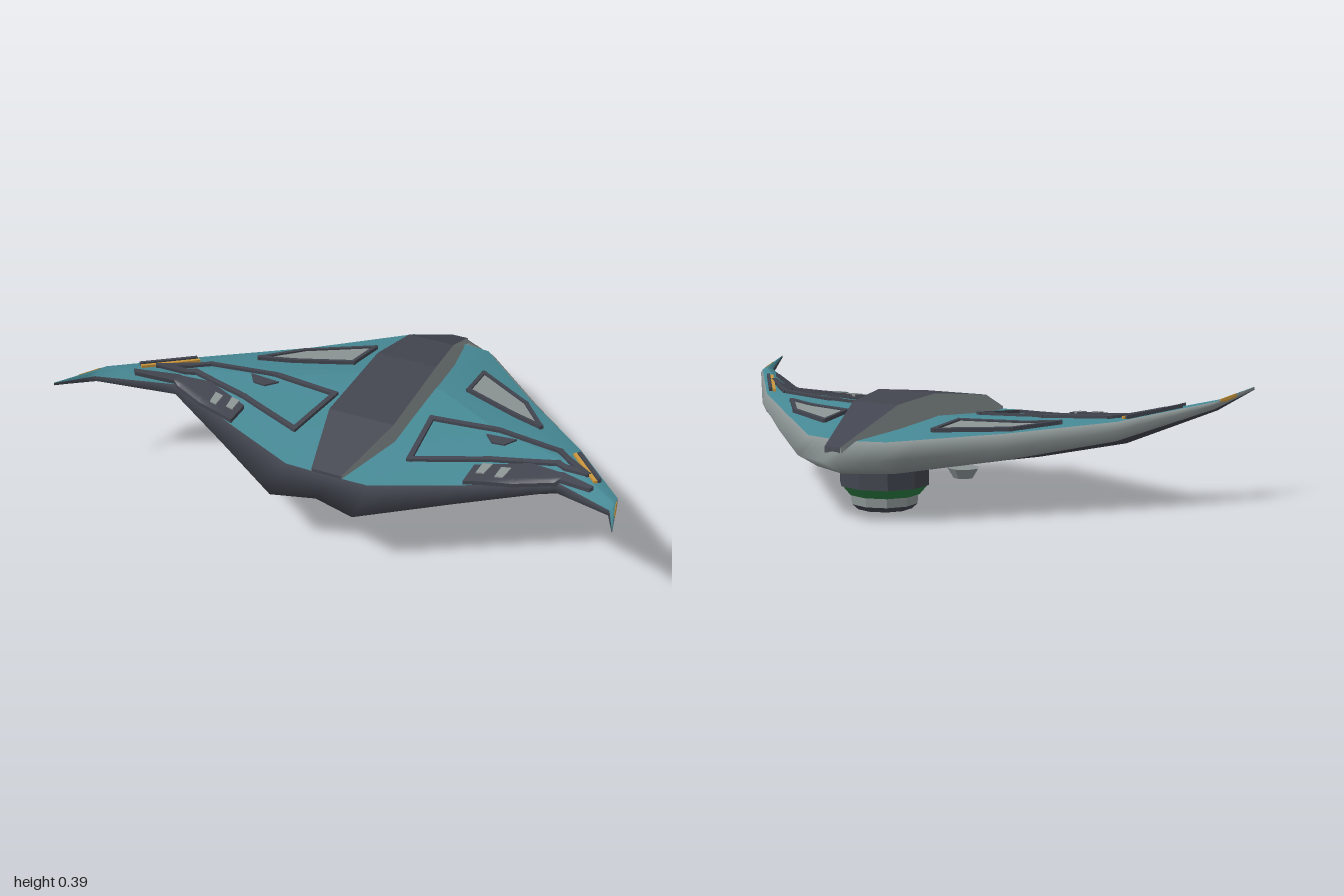
import * as THREE from 'three';

const mat = (name, color) => Object.assign(new THREE.MeshStandardMaterial({ color }), { name });

// Wing stations: x, then leading edge, deck front, deck ridge, deck rear, trailing edge as z,y pairs, then keel y
const STATIONS = [
  [0, -0.62, 0.21, -0.50, 0.262, -0.10, 0.302, 0.50, 0.252, 0.575, 0.205, 0.122],
  [0.15, -0.54, 0.208, -0.475, 0.265, -0.08, 0.302, 0.50, 0.254, 0.612, 0.2, 0.126],
  [0.43, -0.25, 0.232, -0.195, 0.278, 0.08, 0.30, 0.385, 0.268, 0.45, 0.235, 0.165],
  [0.71, 0.04, 0.275, 0.07, 0.305, 0.17, 0.312, 0.27, 0.292, 0.292, 0.268, 0.222],
  [0.94, 0.35, 0.343, 0.36, 0.354, 0.395, 0.358, 0.43, 0.35, 0.44, 0.338, 0.322],
  [1, 0.578, 0.38, 0.579, 0.385, 0.58, 0.386, 0.581, 0.385, 0.582, 0.38, 0.376],
];

// Cross-section of the wing at any x
function section(x) {
  const ax = Math.min(Math.abs(x), 1);
  let i = 0;
  while (i < STATIONS.length - 2 && ax > STATIONS[i + 1][0]) i++;
  const a = STATIONS[i], b = STATIONS[i + 1], t = (ax - a[0]) / (b[0] - a[0]);
  const s = a.map((v, k) => v + (b[k] - v) * t);
  const P = (k) => [x, s[k + 1], s[k]];
  const [L, A, M, B, T] = [1, 3, 5, 7, 9].map(P);
  const keel = (f, d) => {
    const edge = L[1] + (T[1] - L[1]) * f;
    return [x, edge + (s[11] - edge) * d, L[2] + (T[2] - L[2]) * f];
  };
  return { L, A, M, B, T, K: [keel(0.83, 0.65), keel(0.45, 1), keel(0.1, 0.65)] };
}

// Height of the upper surface
function topY(x, z) {
  const { L, A, M, B, T } = section(x), p = [L, A, M, B, T];
  if (z <= L[2]) return L[1];
  for (let i = 0; i < 4; i++) {
    if (z <= p[i + 1][2]) {
      const t = (z - p[i][2]) / (p[i + 1][2] - p[i][2]);
      return p[i][1] + (p[i + 1][1] - p[i][1]) * t;
    }
  }
  return T[1];
}

// Skin over rows of points; bands gives a material index for each column
function loft(rows, bands, flat = false) {
  const n = rows[0].length, idx = [];
  let g = new THREE.BufferGeometry();
  for (let j = 0; j < n - 1; j++) {
    g.addGroup(idx.length, (rows.length - 1) * 6, bands[j]);
    for (let i = 0; i < rows.length - 1; i++) {
      const a = i * n + j, c = a + n;
      idx.push(a, a + 1, c, a + 1, c + 1, c);
    }
  }
  g.setAttribute('position', new THREE.Float32BufferAttribute(rows.flat(2), 3));
  g.setIndex(idx);
  if (flat) {
    g = g.toNonIndexed();
    g.clearGroups();
  }
  g.computeVertexNormals();
  return g;
}

// Thin plate draped over the deck; q holds four [x, z] corners in order
function drape(q, h) {
  let area = 0;
  q.forEach(([x, z], i) => { const r = q[(i + 1) % 4]; area += x * r[1] - r[0] * z; });
  const [a, b, c, d] = area > 0 ? q : [q[1], q[0], q[3], q[2]];
  const g = new THREE.BoxGeometry(1, 1, 1, 8, 1, 8), p = g.attributes.position;
  for (let i = 0; i < p.count; i++) {
    const u = p.getX(i) + 0.5, v = p.getZ(i) + 0.5;
    const mix = (k) => (a[k] * (1 - u) + b[k] * u) * (1 - v) + (d[k] * (1 - u) + c[k] * u) * v;
    const x = mix(0), z = mix(1);
    p.setXYZ(i, x, topY(x, z) + (p.getY(i) > 0 ? h : -0.004), z);
  }
  g.computeVertexNormals();
  return g;
}

// Corners of a straight strip of width w
function strip([x0, z0], [x1, z1], w) {
  const l = Math.hypot(x1 - x0, z1 - z0), dx = (x1 - x0) / l * w / 2, dz = (z1 - z0) / l * w / 2;
  x0 -= dx; z0 -= dz; x1 += dx; z1 += dz;
  return [[x0 + dz, z0 - dx], [x1 + dz, z1 - dx], [x1 - dz, z1 + dx], [x0 - dz, z0 + dx]];
}

// Faceted ring or pod
function facet(r0, y0, r1, y1, sides) {
  const g = new THREE.CylinderGeometry(r1, r0, y1 - y0, sides).toNonIndexed();
  g.computeVertexNormals();
  return g.translate(0, (y0 + y1) / 2, 0);
}

export function createModel() {
  const grey = mat('hull grey', 0x8c9494), dark = mat('dark trim', 0x42454f);
  const teal = mat('teal deck', 0x468995), green = mat('green glow ring', 0x2d7d45);
  const orange = mat('orange marking', 0xcc983c);
  const model = new THREE.Group();
  model.name = 'flyingWing';
  const add = (name, geo, m) => {
    const mesh = new THREE.Mesh(geo, m);
    mesh.name = name;
    model.add(mesh);
    return mesh;
  };

  // Wing body: teal deck, dark trailing rim and belly, grey leading rim
  const half = [0];
  for (let i = 0; i < STATIONS.length - 1; i++) for (let k = 1; k <= 4; k++)
    half.push(STATIONS[i][0] + (STATIONS[i + 1][0] - STATIONS[i][0]) * k / 4);
  const secs = [...half.slice(1).reverse().map((x) => -x), ...half].map(section);
  add('wingBody', loft(secs.map((s) => [s.M, s.B, s.T, ...s.K, s.L, s.A, s.M]),
    [0, 1, 1, 1, 1, 2, 2, 0]), [teal, dark, grey]);

  // Central spine: z, y, half width
  const spine = [[-0.565, 0.2, 0.028], [-0.56, 0.25, 0.03], [-0.3, 0.362, 0.088], [-0.1, 0.38, 0.113],
    [0.25, 0.337, 0.12], [0.5, 0.262, 0.055], [0.505, 0.2, 0.055]];
  const rail = (s, low) => spine.map(([z, y, w]) => [s * (w + (low ? 0.012 : 0)), low ? 0.2 : y, z]);
  add('spineTop', loft([rail(-1), rail(1)], [], true), dark);
  add('spineLeftSide', loft([rail(1), rail(1, true)], [], true), grey);
  add('spineRightSide', loft([rail(-1, true), rail(-1)], [], true), grey);

  // Deck fittings on both sides
  const windowQuad = [[0.215, -0.285], [0.43, -0.15], [0.54, -0.01], [0.225, -0.13]];
  const frame = [[0.185, 0.088], [0.43, 0.075], [0.66, 0.12], [0.80, 0.245], [0.68, 0.19], [0.46, 0.235], [0.215, 0.325]];
  const vent = [
    [[0.43, 0.29], [0.60, 0.225], [0.58, 0.335], [0.43, 0.38]],
    [[0.60, 0.225], [0.72, 0.24], [0.72, 0.275], [0.58, 0.335]],
    [[0.72, 0.24], [0.85, 0.325], [0.84, 0.335], [0.72, 0.275]],
  ];
  for (const s of [1, -1]) {
    const side = s > 0 ? 'left' : 'right';
    const put = (name, q, h, m) => add(side + name, drape(q.map(([x, z]) => [s * x, z]), h), m);
    const outline = (name, pts, w, h) =>
      pts.forEach((p, i) => put(name, strip(p, pts[(i + 1) % pts.length], w), h, dark));
    put('Window', windowQuad, 0.007, grey);
    outline('WindowFrame', windowQuad, 0.014, 0.013);
    outline('PanelFrame', frame, 0.018, 0.01);
    put('Hatch', [[0.395, 0.11], [0.505, 0.11], [0.475, 0.148], [0.43, 0.148]], 0.006, dark);
    vent.forEach((q) => put('VentPlate', q, 0.014, dark));
    for (const x of [0.455, 0.52])
      put('VentSlot', [[x, 0.278], [x + 0.033, 0.272], [x + 0.025, 0.325], [x - 0.002, 0.33]], 0.018, grey);
    put('OuterStrip', strip([0.728, 0.118], [0.85, 0.275], 0.012), 0.013, dark);
    put('OuterMarking', strip([0.714, 0.122], [0.84, 0.284], 0.011), 0.009, orange);
    put('TipMarking', strip([0.948, 0.39], [0.972, 0.475], 0.004), 0.002, orange);

    // Small belly pods
    add(side + 'BellyPod', facet(0.034, 0.1, 0.056, 0.135, 8), grey).position.set(s * 0.225, 0, -0.1);
  }

  // Belly turret in stacked rings: bottom radius, bottom y, top radius, top y
  const rings = [
    ['turretCollar', 0.155, 0.083, 0.155, 0.16, dark],
    ['turretGlowRing', 0.122, 0.05, 0.15, 0.083, green],
    ['turretBase', 0.115, 0.018, 0.117, 0.05, grey],
    ['turretFoot', 0.095, 0, 0.115, 0.018, dark],
  ];
  for (const [name, r0, y0, r1, y1, m] of rings)
    add(name, facet(r0, y0, r1, y1, 10), m).position.z = -0.245;
  return model;
}
